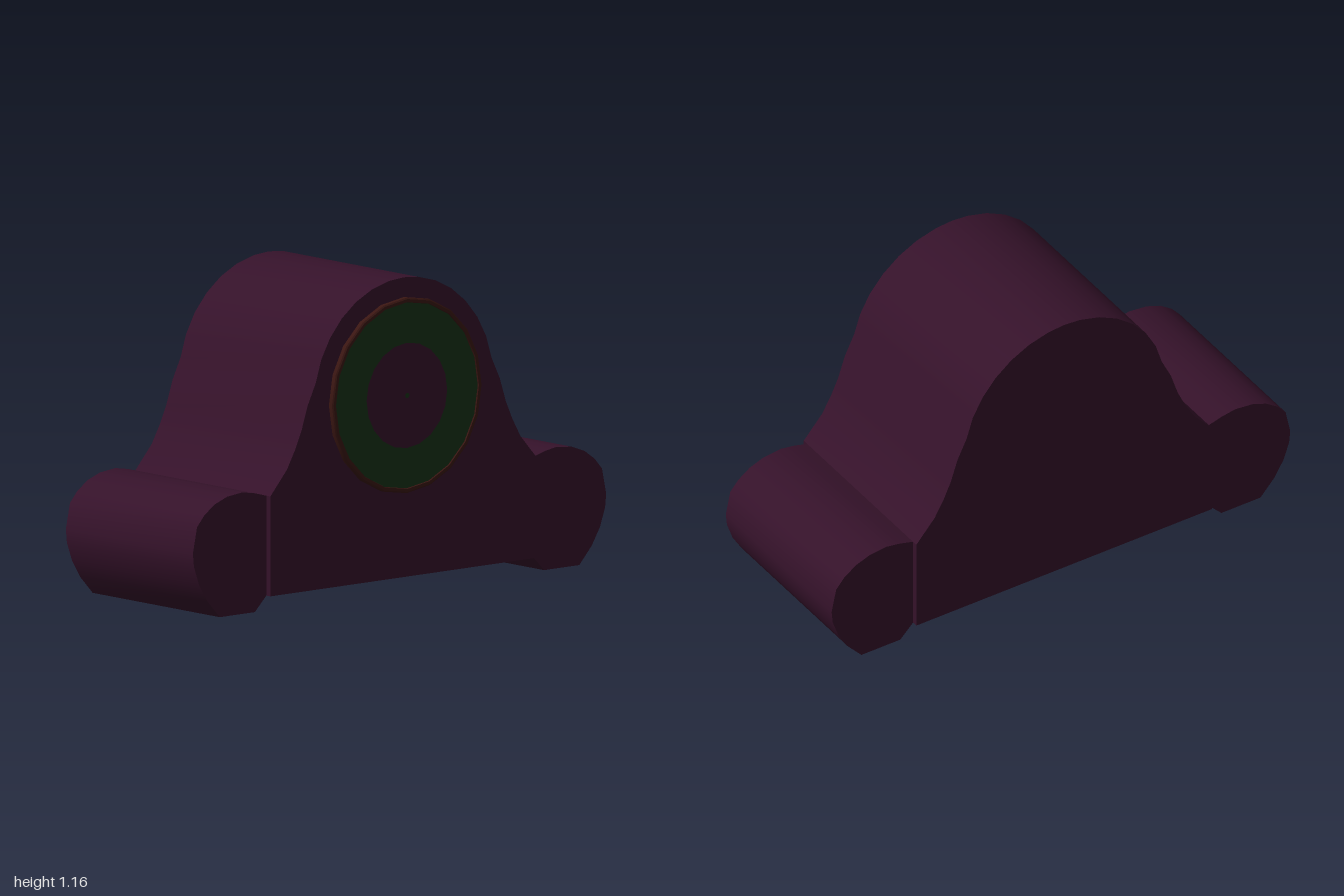
import * as THREE from 'three';
import { toCreasedNormals } from 'three/addons/utils/BufferGeometryUtils.js';

const DIAL_Y = 0.73;
const wood = new THREE.MeshStandardMaterial({ color: 0x35122a });
const green = new THREE.MeshStandardMaterial({ color: 0x163216 });
const copper = new THREE.MeshStandardMaterial({ color: 0x3a1612 });

// Extrude an outline from z0 to z1, smooth on curves and sharp at edges
function slab(name, points, z0, z1) {
  const shape = new THREE.Shape(points.map(([x, y]) => new THREE.Vector2(x, y)));
  const geo = new THREE.ExtrudeGeometry(shape, { depth: z1 - z0, bevelEnabled: false });
  geo.translate(0, 0, z0);
  const mesh = new THREE.Mesh(toCreasedNormals(geo, 0.65), wood);
  mesh.name = name;
  return mesh;
}

// Flat disc on the front face
function disc(name, radius, z, material) {
  const mesh = new THREE.Mesh(new THREE.CircleGeometry(radius, 20), material);
  mesh.position.set(0, DIAL_Y, z);
  mesh.name = name;
  return mesh;
}

export function createModel() {
  const model = new THREE.Group();
  model.name = 'mantelClock';

  // Body: round crown flowing into concave shoulders
  const side = [[0.645, 0.055], [0.645, 0.425], [0.565, 0.515], [0.525, 0.585], [0.495, 0.65], [0.465, 0.74]];
  for (let i = 0; i <= 6; i++) {
    const a = THREE.MathUtils.degToRad(12 + i * 11.5);
    side.push([0.435 * Math.cos(a), DIAL_Y + 0.435 * Math.sin(a)]);
  }
  const mirrored = side.map(([x, y]) => [-x, y]).reverse();
  model.add(slab('body', [...side, [0, 1.165], ...mirrored], -0.387, 0.365));

  // Rounded feet at both ends
  const foot = [
    [0.645, 0.055], [0.7, 0], [0.87, 0], [0.93, 0.065], [0.97, 0.13], [0.995, 0.2], [1, 0.25],
    [0.98, 0.345], [0.945, 0.385], [0.895, 0.42], [0.835, 0.442], [0.76, 0.45], [0.7, 0.44], [0.645, 0.425],
  ];
  model.add(slab('leftFoot', foot, -0.365, 0.342));
  model.add(slab('rightFoot', foot.map(([x, y]) => [-x, y]).reverse(), -0.365, 0.342));

  // Bezel ring around the dial
  const profile = [[0.362, 0], [0.362, 0.018], [0.357, 0.022], [0.346, 0.022], [0.344, 0.016]]
    .map(([r, h]) => new THREE.Vector2(r, h));
  const ring = new THREE.LatheGeometry(profile, 20);
  ring.rotateX(Math.PI / 2);
  const bezel = new THREE.Mesh(toCreasedNormals(ring, 0.5), copper.clone());
  bezel.material.side = THREE.DoubleSide;
  bezel.position.set(0, DIAL_Y, 0.364);
  bezel.name = 'bezel';
  model.add(bezel);

  // Dial face, inner disc and centre pin
  model.add(disc('dial', 0.346, 0.381, green));
  model.add(disc('dialCentre', 0.195, 0.383, wood));
  model.add(disc('centrePin', 0.01, 0.385, green));
  return model;
}
